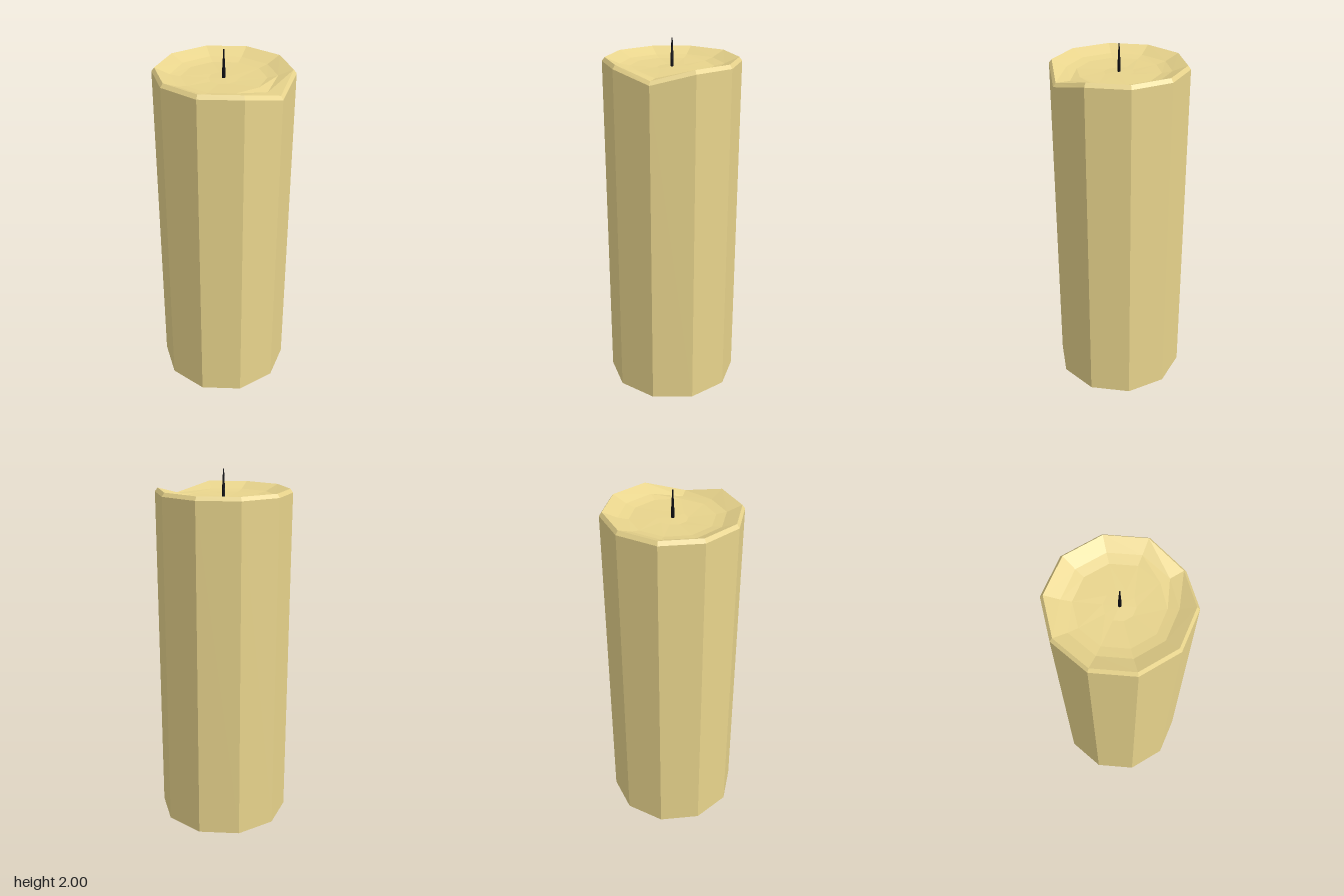
import * as THREE from 'three';

// Faceted surface of revolution with an optional vertex rule
function facetedLathe(profile, sides, color, rule) {
  const points = profile.map(([r, y]) => new THREE.Vector2(r, y));
  const lathe = new THREE.LatheGeometry(points, sides);
  if (rule) {
    const pos = lathe.attributes.position;
    for (let i = 0; i < pos.count; i++) {
      pos.setY(i, rule(pos.getX(i), pos.getY(i), pos.getZ(i)));
    }
  }
  const geometry = lathe.toNonIndexed();
  geometry.computeVertexNormals();
  return new THREE.Mesh(geometry, new THREE.MeshStandardMaterial({
    color, flatShading: true, side: THREE.DoubleSide,
  }));
}

export function createModel() {
  const candle = new THREE.Group();
  candle.name = 'candle';
  const wax = 0xe8d48c;

  // Ten-sided wall, open underneath, with a melted dip at the front of the rim
  const frontDip = (x, y, z) => (y > 1.87 && z > 0.32 ? y - 0.054 : y);
  const body = facetedLathe([[0.369, 0], [0.369, 1.88], [0.354, 1.9]], 10, wax, frontDip);
  body.name = 'waxBody';
  candle.add(body);

  // Shallow pool inside the rim, slightly uneven towards the centre
  const poolRule = (x, y, z) => {
    const r = Math.hypot(x, z);
    if (r > 0.3) return frontDip(x, y, z);
    if (z > 0.25) return y - 0.022;
    return y + 0.003 * Math.sin(x * 23) * Math.cos(z * 17);
  };
  const pool = facetedLathe(
    [[0.354, 1.9], [0.276, 1.866], [0.222, 1.855], [0.079, 1.85], [0, 1.852]],
    10, wax, poolRule);
  pool.name = 'waxPool';
  candle.add(pool);

  // Thin tapered wick
  const wick = facetedLathe(
    [[0.009, 1.84], [0.009, 1.89], [0.006, 1.94], [0.003, 2], [0, 2]], 6, 0x0b0b12);
  wick.name = 'wick';
  candle.add(wick);

  return candle;
}
